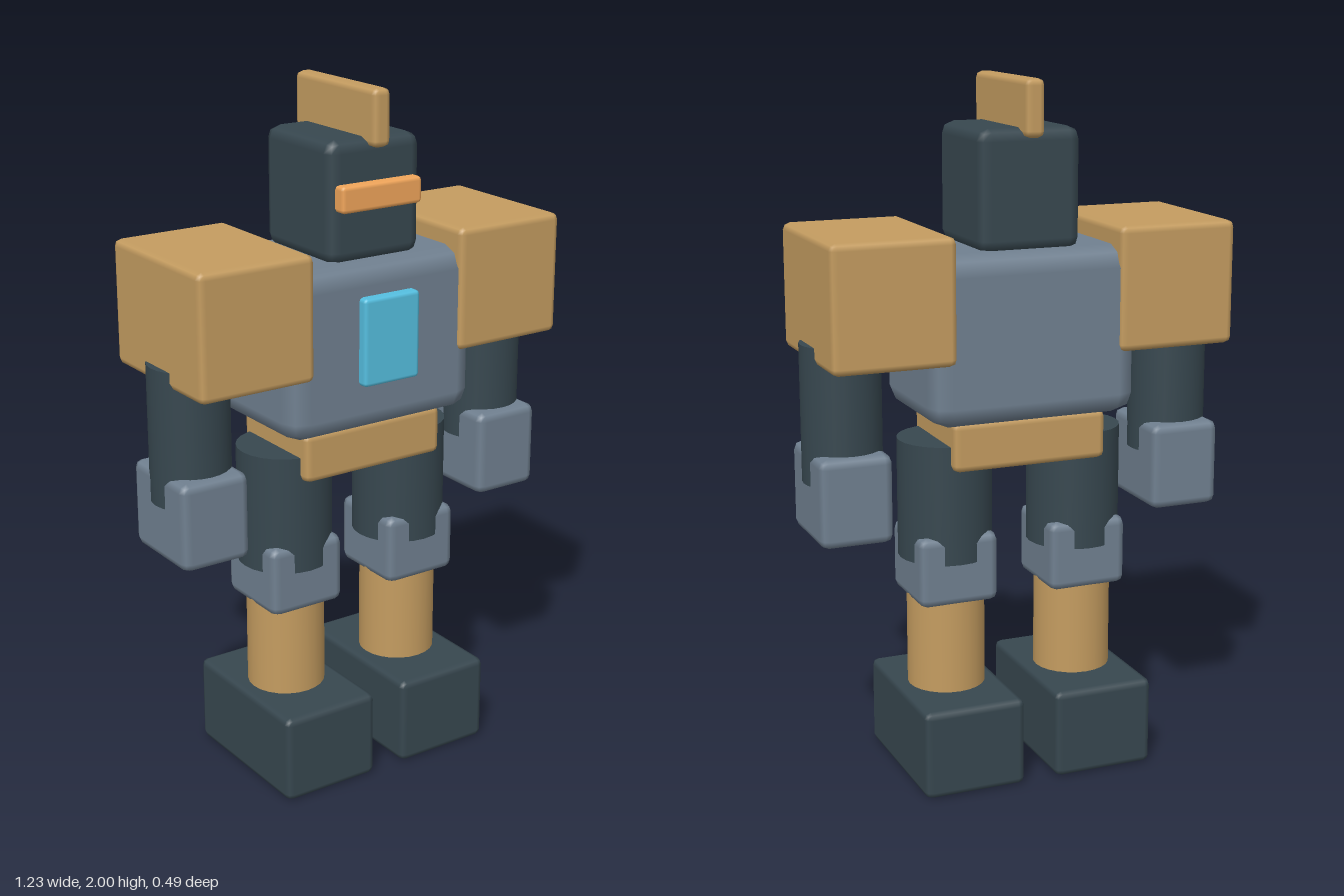
import * as THREE from 'three';
import { RoundedBoxGeometry } from 'three/addons/geometries/RoundedBoxGeometry.js';

const paint = (color) => new THREE.MeshStandardMaterial({ color });

export function createModel() {
  const robot = new THREE.Group();
  robot.name = 'robot';
  const gold = paint(0xc49c60), dark = paint(0x37474f), steel = paint(0x708090);
  const orange = paint(0xf0a55a), cyan = paint(0x55bfe0);

  // Bevelled block given by its centre x, y range, z range and width
  function block(parent, name, material, x, width, y0, y1, z0, z1, bevel) {
    const mesh = new THREE.Mesh(new RoundedBoxGeometry(width, y1 - y0, z1 - z0, 1, bevel), material);
    mesh.position.set(x, (y0 + y1) / 2, (z0 + z1) / 2);
    mesh.name = name;
    parent.add(mesh);
  }

  // Upright round limb segment
  function limb(parent, name, material, x, radius, y0, y1) {
    const mesh = new THREE.Mesh(new THREE.CylinderGeometry(radius, radius, y1 - y0, 24), material);
    mesh.position.set(x, (y0 + y1) / 2, 0);
    mesh.name = name;
    parent.add(mesh);
  }

  // Head with visor and crest
  const head = new THREE.Group();
  head.name = 'head';
  block(head, 'skull', dark, 0, 0.3, 1.53, 1.868, -0.165, 0.165, 0.035);
  block(head, 'visor', orange, 0, 0.262, 1.678, 1.753, 0.13, 0.195, 0.012);
  block(head, 'crest', gold, 0, 0.056, 1.842, 2, -0.193, 0.193, 0.018);
  robot.add(head);

  // Body
  const body = new THREE.Group();
  body.name = 'body';
  block(body, 'torso', steel, 0, 0.614, 1.06, 1.54, -0.216, 0.216, 0.06);
  block(body, 'chestPanel', cyan, 0, 0.184, 1.202, 1.452, 0.195, 0.245, 0.012);
  block(body, 'pelvis', gold, 0, 0.46, 0.925, 1.068, -0.164, 0.164, 0.02);
  robot.add(body);

  // Arms and legs, one set per side
  for (const [side, s] of [['left', 1], ['right', -1]]) {
    const arm = new THREE.Group();
    arm.name = side + 'Arm';
    block(arm, 'shoulder', gold, 0.418 * s, 0.354, 1.243, 1.596, -0.23, 0.23, 0.02);
    limb(arm, 'upperArm', dark, 0.503 * s, 0.113, 0.9, 1.292);
    block(arm, 'hand', steel, 0.503 * s, 0.21, 0.74, 0.993, -0.14, 0.14, 0.025);

    const leg = new THREE.Group();
    leg.name = side + 'Leg';
    limb(leg, 'thigh', dark, 0.2 * s, 0.136, 0.65, 0.995);
    block(leg, 'knee', steel, 0.2 * s, 0.236, 0.525, 0.73, -0.126, 0.126, 0.025);
    limb(leg, 'shin', gold, 0.2 * s, 0.113, 0.23, 0.56);
    block(leg, 'foot', dark, 0.2 * s, 0.302, 0, 0.26, -0.243, 0.243, 0.02);
    robot.add(arm, leg);
  }
  return robot;
}
